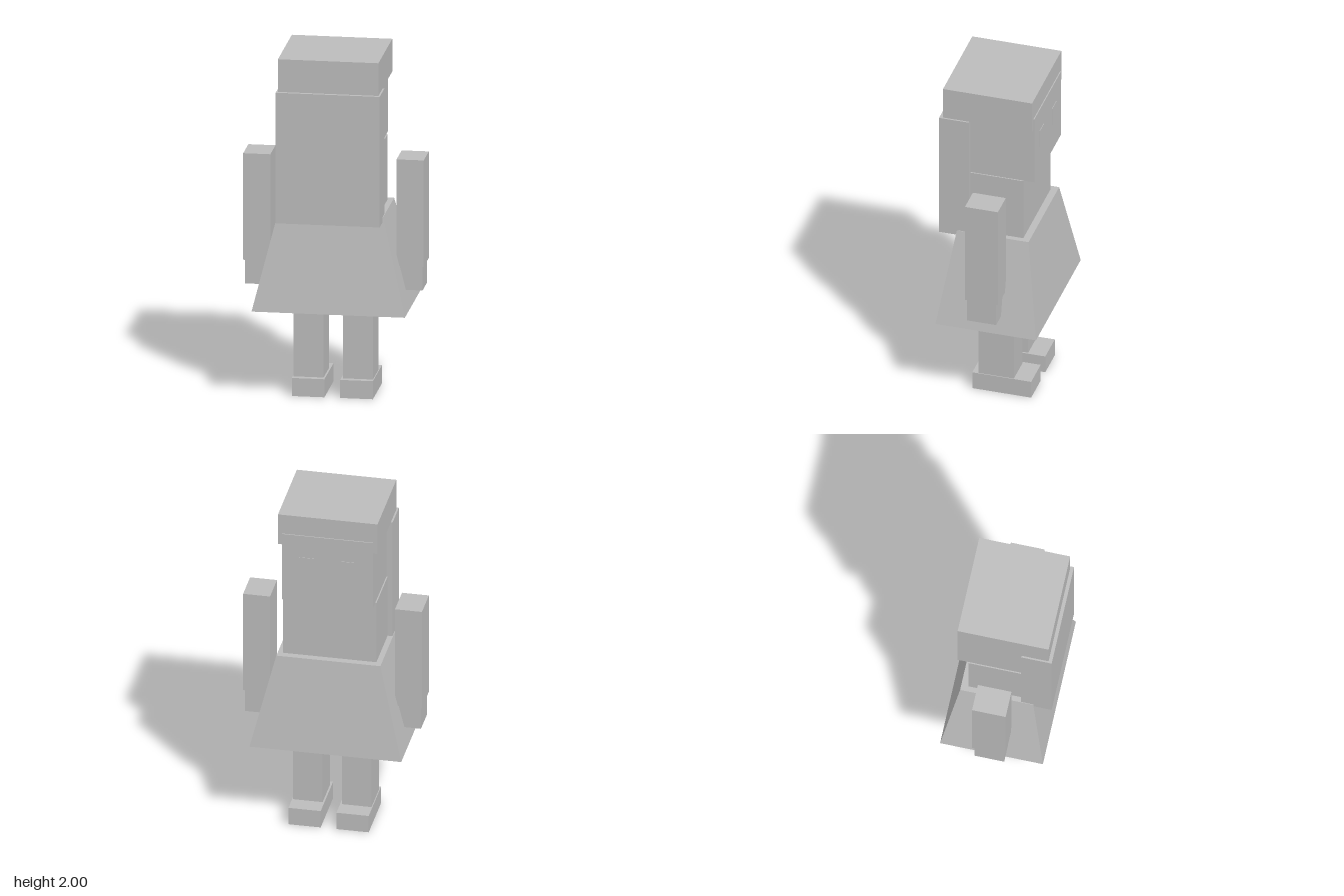
import * as THREE from 'three';

const grey = new THREE.MeshStandardMaterial({ color: 0xbcbcbc, side: THREE.DoubleSide });
grey.name = 'plain grey';

// Box given by its [min, max] range on each axis
function block(name, [x0, x1], [y0, y1], [z0, z1]) {
  const mesh = new THREE.Mesh(new THREE.BoxGeometry(x1 - x0, y1 - y0, z1 - z0), grey);
  mesh.position.set((x0 + x1) / 2, (y0 + y1) / 2, (z0 + z1) / 2);
  mesh.name = name;
  return mesh;
}

// Flared skirt: a box widened towards the hem, closed on top and open below
function makeSkirt() {
  const box = new THREE.BoxGeometry(1, 1, 1);
  const index = Array.from(box.index.array);
  index.splice(18, 6); // drop the bottom face
  box.setIndex(index);
  const p = box.attributes.position;
  for (let i = 0; i < p.count; i++) {
    const top = p.getY(i) > 0;
    const x = Math.sign(p.getX(i)) * (top ? 0.298 : 0.435);
    const z = p.getZ(i) > 0 ? (top ? 0.2 : 0.285) : (top ? -0.22 : -0.305);
    p.setXYZ(i, x, top ? 1.08 : 0.525, z);
  }
  box.computeVertexNormals();
  const mesh = new THREE.Mesh(box, grey);
  mesh.name = 'skirt';
  return mesh;
}

// Rim around the hollow sole of a shoe
function makeSole(side) {
  const rect = (Type, w, h) => new Type([[-w, -h], [w, -h], [w, h], [-w, h]].map(([x, y]) => new THREE.Vector2(x, y)));
  const outline = rect(THREE.Shape, 0.0925, 0.1725);
  outline.holes.push(rect(THREE.Path, 0.055, 0.11));
  const geometry = new THREE.ExtrudeGeometry(outline, { depth: 0.03, bevelEnabled: false });
  geometry.rotateX(-Math.PI / 2);
  const mesh = new THREE.Mesh(geometry, grey);
  mesh.position.set(side * 0.1375, 0, -0.0425);
  mesh.name = 'shoeSole';
  return mesh;
}

export function createModel() {
  const model = new THREE.Group();
  model.name = 'blockFigure';

  // Head, hair and torso
  model.add(
    block('hairTop', [-0.285, 0.285], [1.81, 2], [-0.237, 0.285]),
    block('longHair', [-0.295, 0.295], [1.05, 1.81], [0.13, 0.305]),
    block('head', [-0.26, 0.26], [1.46, 1.88], [-0.243, 0.14]),
    block('torso', [-0.267, 0.267], [1.08, 1.46], [-0.18, 0.14]),
    makeSkirt(),
  );

  // Paired parts
  for (const side of [1, -1]) {
    const span = (a, b) => (side > 0 ? [a, b] : [-b, -a]);
    model.add(
      block('eye', span(0.078, 0.163), [1.635, 1.742], [-0.246, -0.24]),
      block('sleeve', span(0.358, 0.512), [0.77, 1.39], [-0.105, 0.088]),
      block('hand', span(0.366, 0.504), [0.63, 0.77], [-0.092, 0.078]),
      block('leg', span(0.055, 0.225), [0.07, 1.0], [-0.112, 0.094]),
      block('shoe', span(0.045, 0.23), [0.03, 0.105], [-0.215, 0.13]),
      makeSole(side),
    );
  }
  return model;
}
